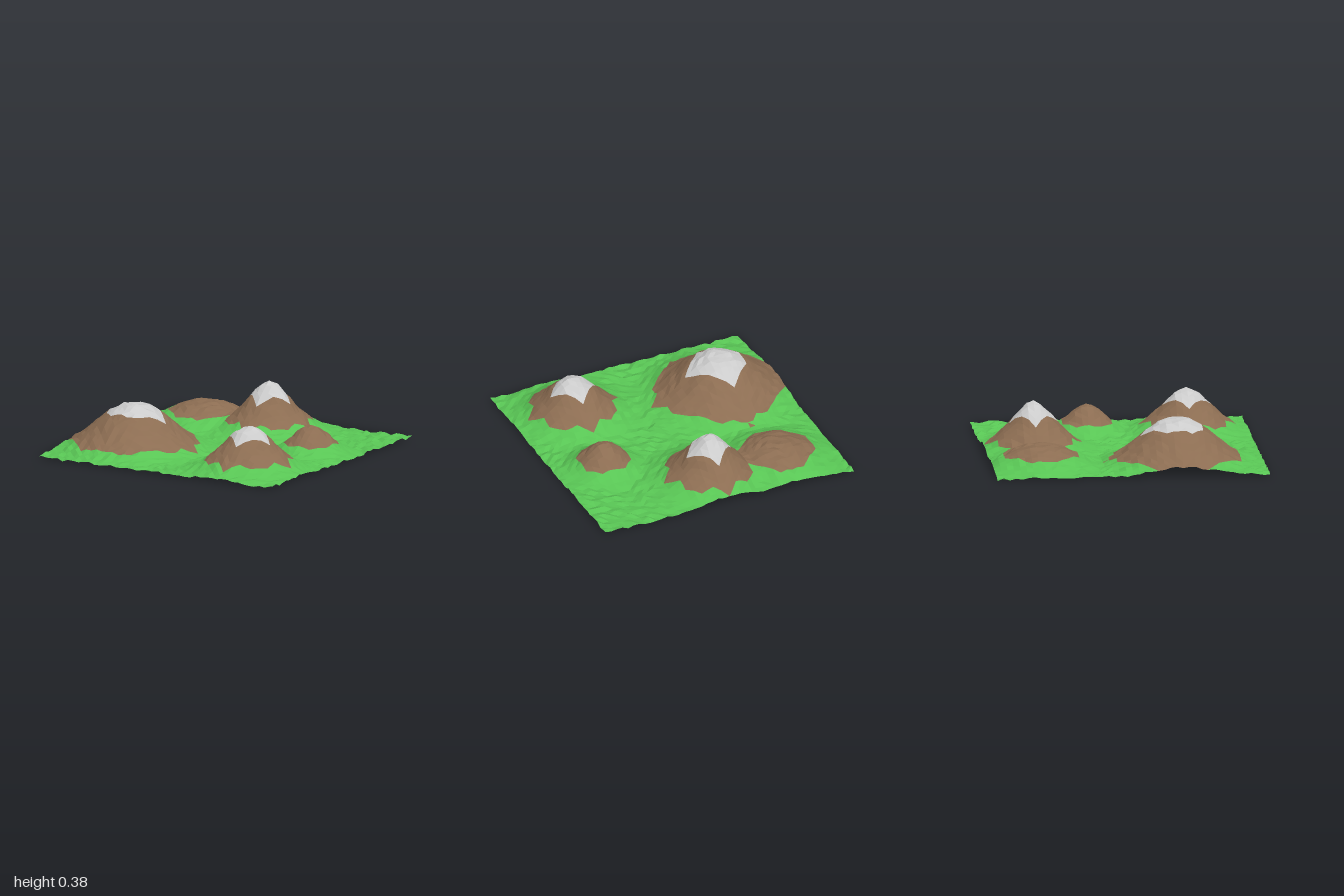
import * as THREE from 'three';

// Plan units: 11 units = half the width of the terrain, two grid cells per unit
const HALF = 11, N = 44;

// Peaks: centre, height, slope width and sharpness; rock and snow areas are
// octagons (half width r, cut corners at |dx| + |dz| = cut) with optional pointed tips
const peaks = [
  { name: 'broadMountain', x: -6, z: 4, top: 0.345, width: 4.16, power: 2.3, halfTips: true,
    rock: { r: 5, cut: 7, tip: 6 }, snow: { r: 2, cut: 3, tip: 3 } },
  { name: 'tallMountain', x: 0, z: -7, top: 0.385, width: 2.8, power: 1.7,
    rock: { r: 3, cut: 5, tip: 4 }, snow: { r: 2, cut: 2, tip: 0 } },
  { name: 'lowShoulder', x: -6, z: -7, top: 0.17, width: 3.7, power: 2.6,
    rock: { r: 3, cut: 4, tip: 0 } },
  { name: 'frontMountain', x: 6, z: 6, top: 0.335, width: 3, power: 1.9,
    rock: { r: 3, cut: 5, tip: 4 }, snow: { r: 2, cut: 2, tip: 0 } },
  { name: 'smallHill', x: 7, z: -2, top: 0.21, width: 2.2, power: 2,
    rock: { r: 2, cut: 3, tip: 0 } },
];
const colors = { snow: 0xcccccc, rock: 0x8c6d52, grass: 0x58c554 };

// Repeatable value from 0 to 1 for each grid point
function noise(i, j) {
  const s = Math.sin(i * 127.1 + j * 311.7) * 43758.5453;
  return s - Math.floor(s);
}

function covers(peak, area, x, z) {
  if (!area) return false;
  const dx = x - peak.x, dz = z - peak.z;
  const sum = Math.abs(dx) + Math.abs(dz);
  const inOctagon = Math.max(Math.abs(dx), Math.abs(dz)) < area.r && sum < area.cut;
  const inTips = sum < area.tip && (!peak.halfTips || dx > dz);
  return inOctagon || inTips;
}

// Bumpy ground with the peaks rising out of it
function height(x, z, bump) {
  const rise = Math.max(...peaks.map(p =>
    p.top * Math.exp(-((Math.hypot(x - p.x, z - p.z) / p.width) ** p.power))));
  return Math.max(0.003 + 0.024 * bump, rise + 0.016 * (bump - 0.35));
}

export function createModel() {
  const group = new THREE.Group();
  group.name = 'mountainTerrain';

  // Grid of points, lowered so that the lowest one rests on y = 0
  const points = [];
  for (let j = 0; j <= N; j++) {
    for (let i = 0; i <= N; i++) {
      const x = i / 2 - HALF, z = j / 2 - HALF;
      points.push(new THREE.Vector3(x / HALF, height(x, z, noise(i, j)), z / HALF));
    }
  }
  const low = Math.min(...points.map(p => p.y));
  points.forEach(p => { p.y -= low; });

  // Sort each triangle into snow, rock or grass by its middle
  const parts = new Map();
  const addTriangle = (...corners) => {
    const x = corners.reduce((s, p) => s + p.x, 0) / 3 * HALF;
    const z = corners.reduce((s, p) => s + p.z, 0) / 3 * HALF;
    let name = 'grassland', color = colors.grass;
    for (const kind of ['rock', 'snow']) {
      const peak = peaks.find(p => covers(p, p[kind], x, z));
      if (peak) {
        name = peak.name + (kind === 'rock' ? 'Rock' : 'Snow');
        color = colors[kind];
      }
    }
    if (!parts.has(name)) parts.set(name, { color, positions: [] });
    corners.forEach(p => parts.get(name).positions.push(p.x, p.y, p.z));
  };

  for (let j = 0; j < N; j++) {
    for (let i = 0; i < N; i++) {
      const at = (di, dj) => points[(j + dj) * (N + 1) + i + di];
      const a = at(0, 0), b = at(0, 1), c = at(1, 1), d = at(1, 0);
      // Cell diagonals run around the nearest peak
      const x = (i + 0.5) / 2 - HALF, z = (j + 0.5) / 2 - HALF;
      const dist = p => Math.hypot(x - p.x, z - p.z);
      const near = peaks.reduce((m, p) => (dist(p) < dist(m) ? p : m));
      if ((x - near.x) * (z - near.z) > 0) {
        addTriangle(a, b, d);
        addTriangle(b, c, d);
      } else {
        addTriangle(a, b, c);
        addTriangle(a, c, d);
      }
    }
  }

  // One faceted sheet per area
  parts.forEach(({ color, positions }, name) => {
    const geometry = new THREE.BufferGeometry();
    geometry.setAttribute('position', new THREE.Float32BufferAttribute(positions, 3));
    geometry.computeVertexNormals();
    const mesh = new THREE.Mesh(geometry, new THREE.MeshStandardMaterial({
      color, flatShading: true, side: THREE.DoubleSide,
    }));
    mesh.name = name;
    group.add(mesh);
  });
  return group;
}
